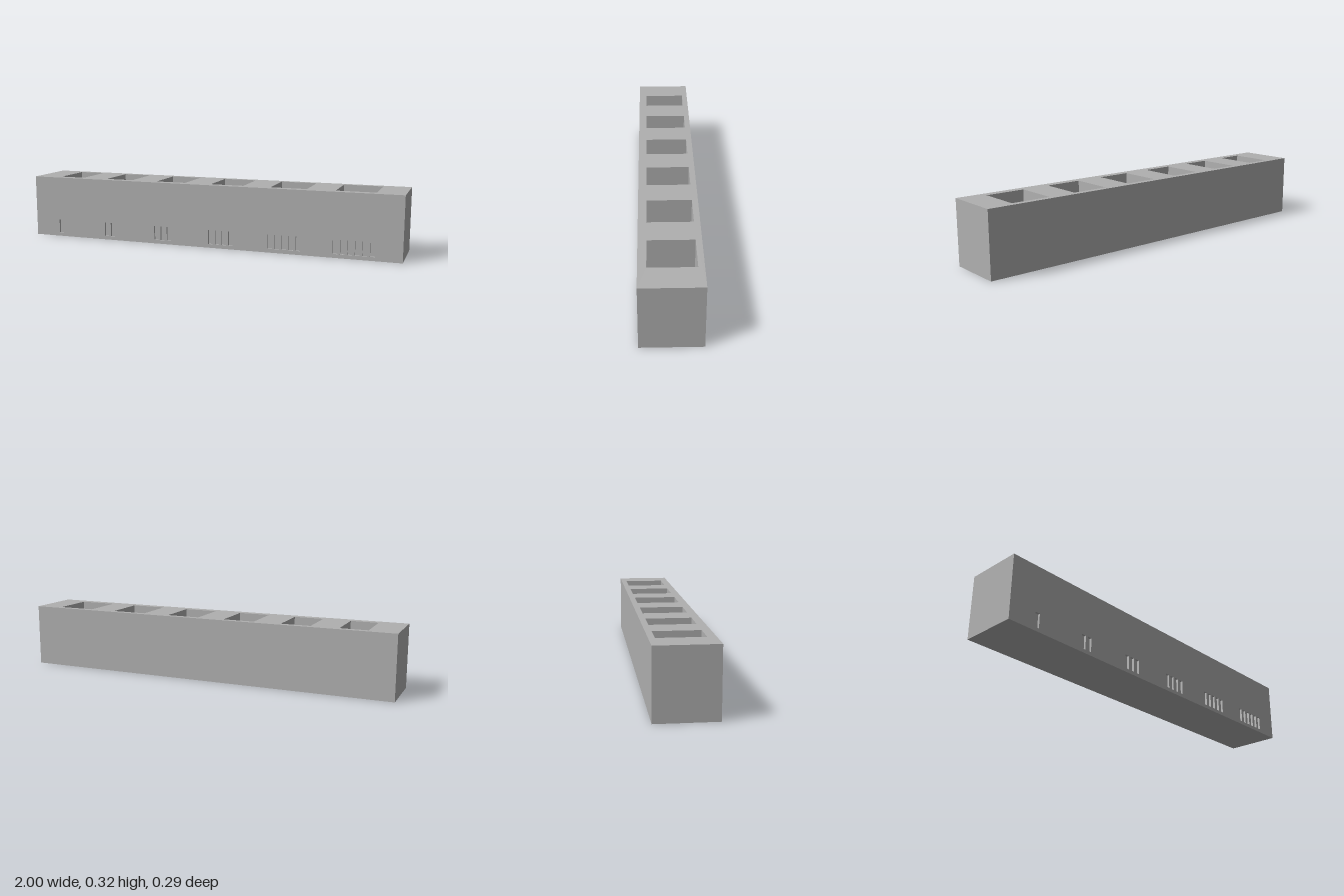
import * as THREE from 'three';

const W = 2, H = 0.325, D = 0.288;
const GAP = 0.142, FLOOR = 0.029;
const POCKET_BACK = -0.115, POCKET_FRONT = 0.104;
const MARK = { w: 0.024, y0: 0.019, y1: 0.092, pitch: 0.036, depth: 0.012 };

// Box sides in order: +x, -x, +y, -y, +z, -z
const RIGHT = 0, LEFT = 1, TOP = 2, BOTTOM = 3, FRONT = 4, BACK = 5;

// Box from min to max corner without the listed sides; inward turns it into a cavity
function openBox(min, max, omit, inward = false) {
  const size = max.map((v, i) => v - min[i]);
  const geo = new THREE.BoxGeometry(...size);
  geo.translate(...min.map((v, i) => (v + max[i]) / 2));
  const src = Array.from(geo.index.array);
  const index = [];
  for (let side = 0; side < 6; side++) {
    if (omit.includes(side)) continue;
    for (let t = side * 6; t < side * 6 + 6; t += 3) {
      const [a, b, c] = src.slice(t, t + 3);
      index.push(...(inward ? [a, c, b] : [a, b, c]));
    }
  }
  geo.clearGroups();
  geo.setIndex(index);
  if (inward) {
    const n = geo.attributes.normal;
    for (let i = 0; i < n.count; i++) n.setXYZ(i, -n.getX(i), -n.getY(i), -n.getZ(i));
  }
  return geo;
}

function rectangle(path, x0, y0, x1, y1) {
  path.moveTo(x0, y0);
  path.lineTo(x1, y0);
  path.lineTo(x1, y1);
  path.lineTo(x0, y1);
  path.closePath();
  return path;
}

// Flat rectangular panel with rectangular openings
function panel(outer, holes) {
  const shape = rectangle(new THREE.Shape(), ...outer);
  shape.holes = holes.map((h) => rectangle(new THREE.Path(), ...h));
  return new THREE.ShapeGeometry(shape);
}

export function createModel() {
  const group = new THREE.Group();
  group.name = 'socketHolder';
  const grey = new THREE.MeshStandardMaterial({ color: 0xb0b0b0 });
  grey.name = 'grey';
  const add = (name, geo) => {
    const mesh = new THREE.Mesh(geo, grey);
    mesh.name = name;
    group.add(mesh);
  };

  // Pockets widen from left to right; pocket n carries n tally marks
  const topHoles = [], frontHoles = [];
  let x = -W / 2 + GAP;
  for (let i = 0; i < 6; i++) {
    const width = 0.139 + i * 0.0118;
    topHoles.push([x, -POCKET_FRONT, x + width, -POCKET_BACK]);
    add(`pocket${i + 1}`, openBox([x, FLOOR, POCKET_BACK], [x + width, H, POCKET_FRONT], [TOP], true));
    for (let k = 0; k <= i; k++) {
      const mx = x + k * MARK.pitch;
      frontHoles.push([mx, MARK.y0, mx + MARK.w, MARK.y1]);
      add(`tallyMark${i + 1}_${k + 1}`,
        openBox([mx, MARK.y0, D / 2 - MARK.depth], [mx + MARK.w, MARK.y1, D / 2], [FRONT], true));
    }
    x += width + GAP;
  }

  // Outer block: plain sides, then the pierced top and front
  add('body', openBox([-W / 2, 0, -D / 2], [W / 2, H, D / 2], [TOP, FRONT]));
  add('topFace', panel([-W / 2, -D / 2, W / 2, D / 2], topHoles).rotateX(-Math.PI / 2).translate(0, H, 0));
  add('frontFace', panel([-W / 2, 0, W / 2, H], frontHoles).translate(0, 0, D / 2));

  return group;
}
